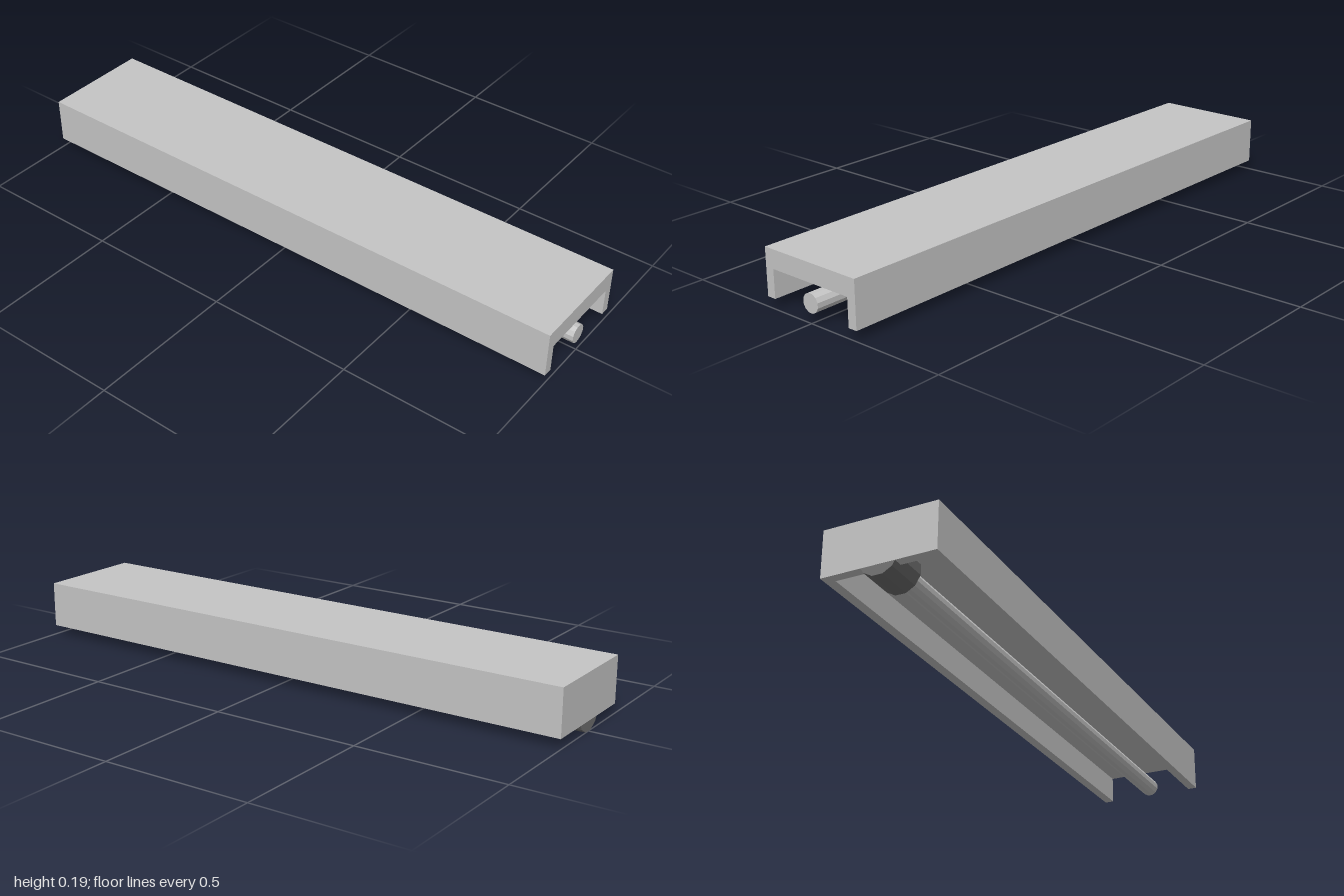
import * as THREE from 'three';

export function createModel() {
  const model = new THREE.Group();
  const lightGrey = new THREE.MeshStandardMaterial({ color: 0xc5c5c5, flatShading: true });
  lightGrey.name = 'light grey';
  const darkGrey = new THREE.MeshStandardMaterial({ color: 0x6f6f6f, flatShading: true });
  darkGrey.name = 'dark grey';

  const add = (name, geometry, material) => {
    const mesh = new THREE.Mesh(geometry, material);
    mesh.name = name;
    model.add(mesh);
  };

  const halfWidth = 0.1875, innerHalf = 0.156;
  const bottom = 0.033, ceiling = 0.127, top = 0.189;
  const backThickness = 0.031, axisY = 0.0635;

  // Downward-opening channel, open at the front
  const profile = new THREE.Shape([
    [-halfWidth, bottom], [-innerHalf, bottom], [-innerHalf, ceiling], [innerHalf, ceiling],
    [innerHalf, bottom], [halfWidth, bottom], [halfWidth, top], [-halfWidth, top],
  ].map(([x, y]) => new THREE.Vector2(x, y)));
  const channel = new THREE.ExtrudeGeometry(profile, { depth: 2 - backThickness, bevelEnabled: false });
  channel.translate(0, 0, -1 + backThickness);
  add('channelCover', channel, lightGrey);

  // Plate closing the back end
  const plate = new THREE.BoxGeometry(2 * halfWidth, top - bottom, backThickness);
  plate.translate(0, (top + bottom) / 2, -1 + backThickness / 2);
  add('backPlate', plate, lightGrey);

  // Twelve-sided bar along z, with a flat side down
  const bar = (apothem, z0, z1) => {
    const radius = apothem / Math.cos(Math.PI / 12);
    return new THREE.CylinderGeometry(radius, radius, z1 - z0, 12)
      .rotateY(Math.PI / 12)
      .rotateX(Math.PI / 2)
      .translate(0, axisY, (z0 + z1) / 2);
  };
  add('guideRod', bar(0.0305, -0.99, 1), lightGrey);
  add('rodCollar', bar(0.063, -0.9995, -0.875), darkGrey);

  return model;
}
